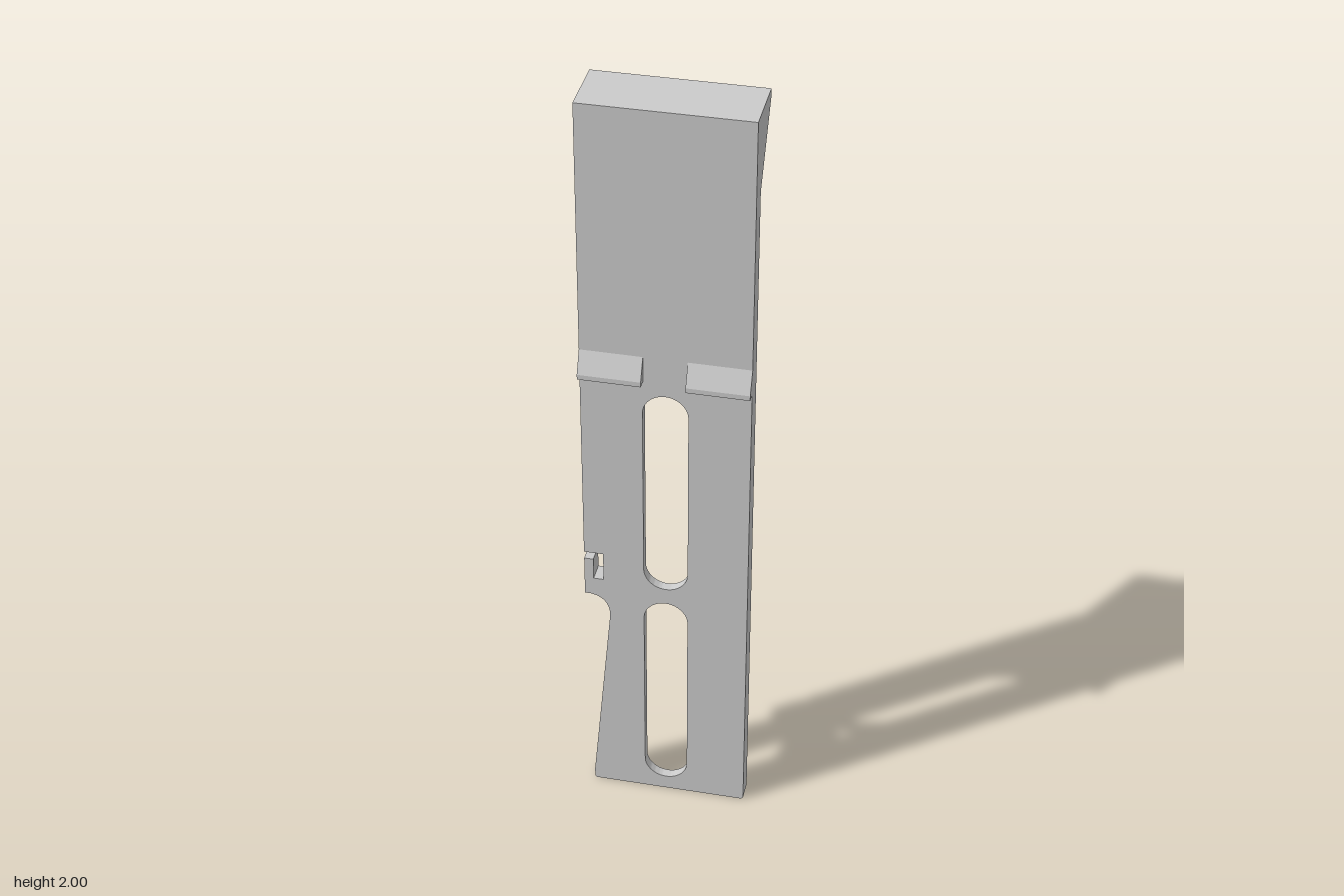
import * as THREE from 'three';
import { toCreasedNormals } from 'three/addons/utils/BufferGeometryUtils.js';

const FRONT = 0.065, SKIN = 0.04, BACK = 0.015, FLARE = -0.09;
const W = 0.205, TOP = 2;
const SLOT_R = 0.055, RIM_IN = 0.11, RIM_OUT = 0.14, LOW = 0.095, HIGH = 1.195;

// Side edges of the plate; the caller closes the bottom edge
function outline() {
  const s = new THREE.Shape();
  s.moveTo(0.2, 0);
  s.lineTo(W, 0.005);
  s.lineTo(W, TOP);
  s.lineTo(-W, TOP);
  // hooked notch
  for (const [x, y] of [[-W, 0.755], [-0.157, 0.755], [-0.157, 0.675], [-0.182, 0.675],
    [-0.182, 0.735], [-W, 0.735], [-W, 0.625], [-0.19, 0.625]]) s.lineTo(x, y);
  // tapered leg
  s.quadraticCurveTo(-0.14, 0.617, -0.142, 0.56);
  s.lineTo(-0.19, 0.03);
  s.lineTo(-0.19, 0.005);
  s.lineTo(-0.185, 0);
  return s;
}

function slot(y0, y1) {
  const p = new THREE.Path();
  p.absarc(0, y1, SLOT_R, 0, Math.PI, false);
  p.absarc(0, y0, SLOT_R, Math.PI, Math.PI * 2, false);
  p.closePath();
  return p;
}

const polygon = (pts, Type = THREE.Path) => new Type(pts.map(([x, y]) => new THREE.Vector2(x, y)));
const rect = (x0, x1, y0, y1) => polygon([[x0, y0], [x1, y0], [x1, y1], [x0, y1]]);

export function createModel() {
  const group = new THREE.Group();
  const material = new THREE.MeshStandardMaterial({ color: 0xcccccc });
  const add = (name, geometry) => {
    const mesh = new THREE.Mesh(geometry, material);
    mesh.name = name;
    group.add(mesh);
    return mesh;
  };
  const layer = (shape, z0, z1) => toCreasedNormals(
    new THREE.ExtrudeGeometry(shape, { depth: z1 - z0, bevelEnabled: false, curveSegments: 20 })
      .translate(0, 0, z0), 0.6);
  // Side profile given as [z, y], extruded from x0 to x1
  const sideProfile = (pts, x0, x1) => new THREE.ExtrudeGeometry(
    polygon(pts.map(([z, y]) => [-z, y]), THREE.Shape), { depth: x1 - x0, bevelEnabled: false })
    .rotateY(Math.PI / 2).translate(x0, 0, 0);

  // Front skin with two long slots
  const skin = outline();
  skin.holes.push(slot(0.68 + SLOT_R - 0.01, HIGH), slot(LOW, 0.57));
  add('frontPlate', layer(skin, SKIN, FRONT));

  // Raised back ribs: the slot recess runs out through the bottom edge
  const ribs = outline();
  const a = Math.asin(LOW / RIM_IN);
  ribs.absarc(0, LOW, RIM_IN, Math.PI + a, Math.PI, true);
  ribs.absarc(0, HIGH, RIM_IN, Math.PI, 0, true);
  ribs.absarc(0, LOW, RIM_IN, 0, -a, true);
  ribs.holes.push(
    rect(RIM_OUT, 0.185, 0.03, 0.81), rect(RIM_OUT, 0.185, 0.83, 1.98),
    rect(-0.185, -RIM_OUT, 0.785, 0.825), rect(-0.185, -RIM_OUT, 0.85, 1.98));
  // Upper bays, curved below to follow the rim
  for (const side of [1, -1]) {
    const bay = [[0.11 * side, 1.98], [0.015 * side, 1.98]];
    for (let i = 0; i <= 10; i++) {
      const x = 0.015 + 0.095 * i / 10;
      bay.push([x * side, HIGH + Math.sqrt(RIM_OUT ** 2 - x ** 2)]);
    }
    ribs.holes.push(polygon(bay));
  }
  add('backRibs', layer(ribs, BACK, SKIN));

  // Flared top: a slab carried by five gussets
  const slab = new THREE.BoxGeometry(2 * W, 0.02, BACK - FLARE);
  add('topSlab', slab.translate(0, 1.99, (BACK + FLARE) / 2));
  const gusset = [[BACK, 1.8], [BACK, TOP], [FLARE, TOP], [FLARE, 1.98]];
  for (const [x0, x1] of [[-W, -0.185], [-RIM_OUT, -0.11], [-0.015, 0.015], [0.11, RIM_OUT], [0.185, W]]) {
    add('topGusset', sideProfile(gusset, x0, x1));
  }

  // Wedge catches on the front
  const wedge = [[FRONT, 1.287], [0.09, 1.287], [0.09, 1.3], [FRONT, 1.355]];
  for (const x0 of [-W, 0.053]) add('frontCatch', sideProfile(wedge, x0, x0 + 0.152));

  // Fin on the back
  add('backFin', sideProfile([[SKIN, 0.21], [BACK, 0.21], [FLARE, 0.237], [FLARE, 0.39],
    [BACK, 0.415], [SKIN, 0.415]], 0.113, 0.133));

  return group;
}
